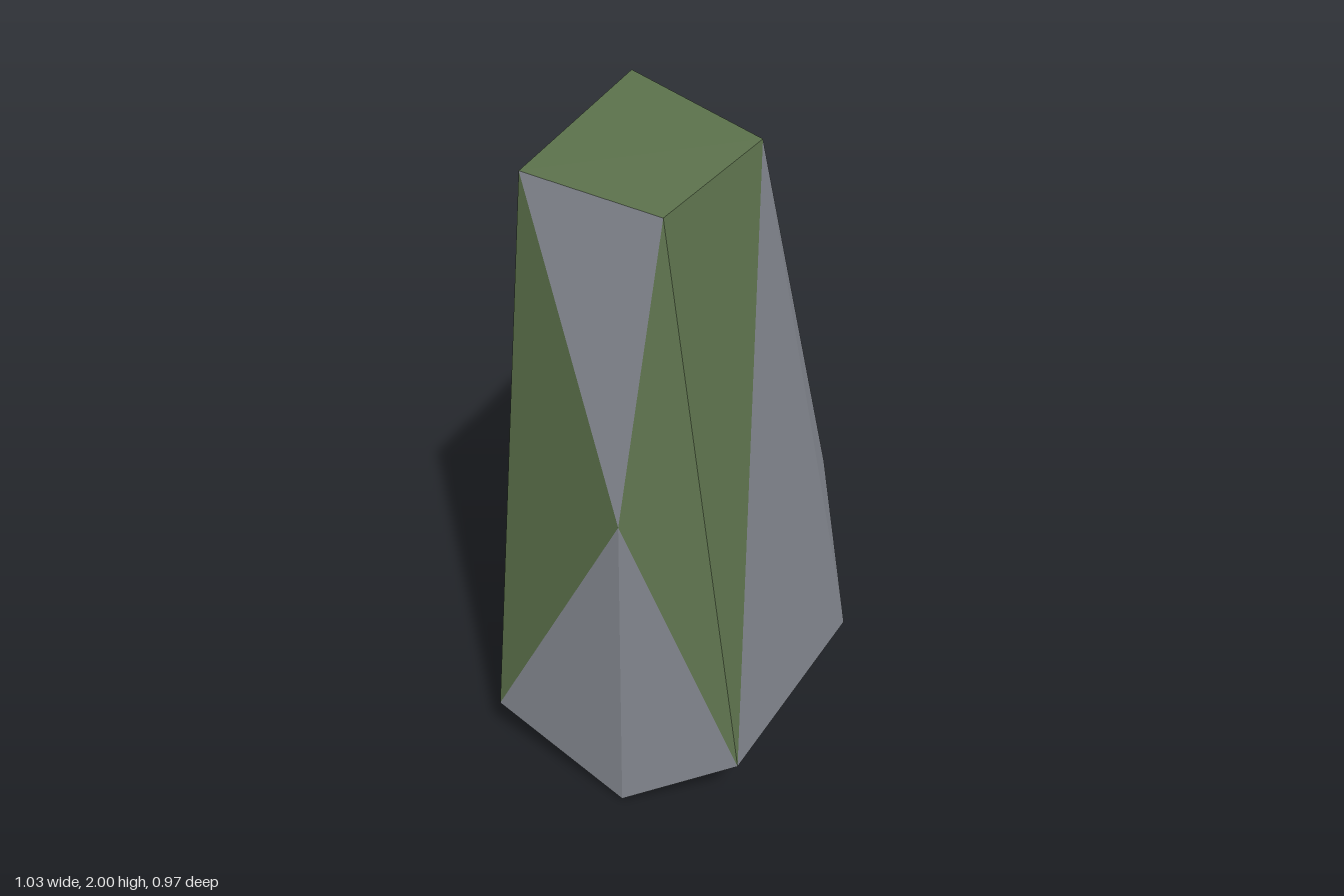
import * as THREE from 'three';

// Corner points of the boulder: top rim, mid-height kinks, base rim, foot
const P = {
  topBackLeft: [-0.365, 2.0, -0.32], topBackRight: [0.157, 1.94, -0.242],
  topFrontRight: [0.147, 1.865, 0.203], topFrontLeft: [-0.29, 1.908, 0.275],
  midFront: [0.147, 0.985, 0.415], midBack: [0.287, 0.8, -0.463],
  baseBackLeft: [-0.518, 0.125, -0.38], baseFrontLeft: [-0.298, 0.135, 0.485],
  baseRight: [0.515, 0.203, 0.32], baseBackRight: [0.39, 0.173, -0.487],
  footFront: [0.195, 0.003, 0.48], footBack: [0.04, 0, -0.457],
};
const CENTRE = new THREE.Vector3(0, 0.9, 0);

// Build flat triangles, each turned to face away from the core
function facets(name, faces, material) {
  const pos = [];
  for (const face of faces) {
    const [a, b, c] = face.map((k) => new THREE.Vector3(...P[k]));
    const n = b.clone().sub(a).cross(c.clone().sub(a));
    const outward = n.dot(a.clone().sub(CENTRE)) > 0;
    for (const v of outward ? [a, b, c] : [a, c, b]) pos.push(v.x, v.y, v.z);
  }
  const g = new THREE.BufferGeometry();
  g.setAttribute('position', new THREE.Float32BufferAttribute(pos, 3));
  g.computeVertexNormals();
  const mesh = new THREE.Mesh(g, material);
  mesh.name = name;
  return mesh;
}

export function createModel() {
  const stone = new THREE.MeshStandardMaterial({ color: 0x83878f });
  stone.name = 'stone grey';
  const moss = new THREE.MeshStandardMaterial({ color: 0x5a6f4a });
  moss.name = 'moss green';

  const group = new THREE.Group();
  group.name = 'standingStone';
  group.add(
    facets('mossTop', [
      ['topBackLeft', 'topBackRight', 'topFrontLeft'],
      ['topBackRight', 'topFrontRight', 'topFrontLeft'],
    ], moss),
    facets('mossSides', [
      ['topFrontLeft', 'midFront', 'baseFrontLeft'],
      ['topFrontRight', 'midFront', 'baseRight'],
      ['topFrontRight', 'baseRight', 'topBackRight'],
    ], moss),
    facets('stoneFront', [
      ['topFrontLeft', 'topFrontRight', 'midFront'],
      ['baseFrontLeft', 'midFront', 'footFront'],
      ['midFront', 'footFront', 'baseRight'],
    ], stone),
    facets('stoneRight', [
      ['topBackRight', 'baseRight', 'baseBackRight'],
      ['topBackRight', 'baseBackRight', 'midBack'],
    ], stone),
    facets('stoneBack', [
      ['topBackLeft', 'topBackRight', 'midBack'],
      ['topBackLeft', 'midBack', 'baseBackRight'],
      ['topBackLeft', 'baseBackRight', 'baseBackLeft'],
      ['baseBackLeft', 'baseBackRight', 'footBack'],
    ], stone),
    facets('stoneLeft', [
      ['topBackLeft', 'baseBackLeft', 'topFrontLeft'],
      ['baseBackLeft', 'baseFrontLeft', 'topFrontLeft'],
    ], stone),
    facets('stoneUnderside', [
      ['baseBackLeft', 'baseFrontLeft', 'footFront'],
      ['baseBackLeft', 'footFront', 'footBack'],
      ['footFront', 'baseRight', 'baseBackRight'],
      ['footFront', 'baseBackRight', 'footBack'],
    ], stone),
  );
  return group;
}
